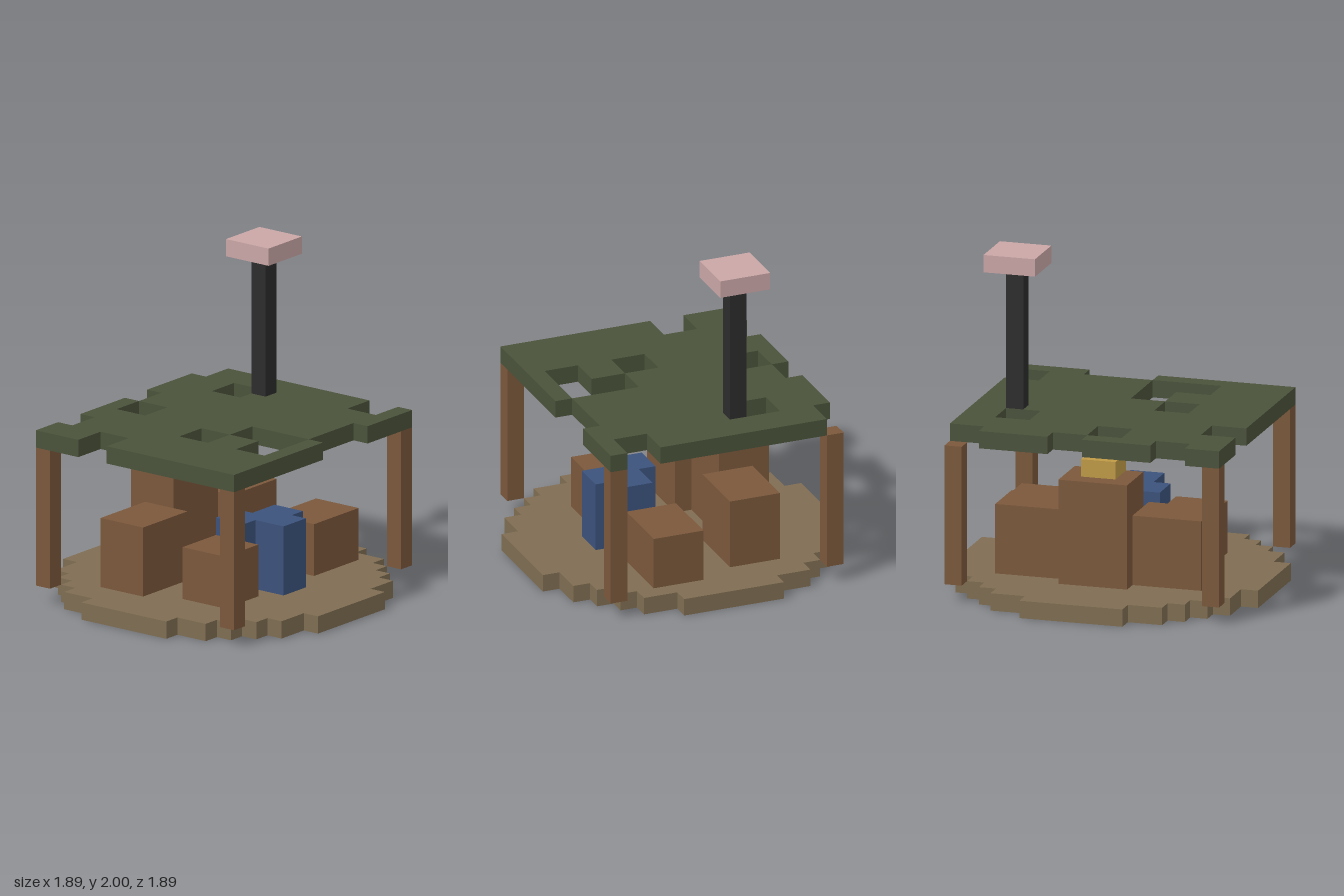
import * as THREE from 'three';

const U = 2 / 19; // one block

function material(name, color) {
  const m = new THREE.MeshStandardMaterial({ color });
  m.name = name;
  return m;
}

export function createModel() {
  const tan = material('tan ground', 0x7f6d52);
  const brown = material('brown wood', 0x7b583b);
  const green = material('dark green canopy', 0x4a523a);
  const blue = material('blue barrel', 0x3b527c);
  const gold = material('gold', 0xbf9b46);
  const black = material('black pole', 0x2c2c2c);
  const pink = material('pale pink', 0xcaa6a6);

  const model = new THREE.Group();
  model.name = 'campShelter';

  function add(name, geometry, mat, parent) {
    const mesh = new THREE.Mesh(geometry, mat);
    mesh.name = name;
    parent.add(mesh);
  }

  // Box between two corners given in blocks
  function block(name, mat, [x0, x1], [y0, y1], [z0, z1], parent = model) {
    const g = new THREE.BoxGeometry((x1 - x0) * U, (y1 - y0) * U, (z1 - z0) * U);
    g.translate((x0 + x1) / 2 * U, (y0 + y1) / 2 * U, (z0 + z1) / 2 * U);
    add(name, g, mat, parent);
  }

  // One-block-thick slab from an (x, z) outline
  function slab(name, mat, outline, top, parent = model, hole) {
    const points = (list) => list.map(([x, z]) => new THREE.Vector2(x * U, z * U));
    const shape = new THREE.Shape(points(outline));
    if (hole) shape.holes.push(new THREE.Path(points(hole)));
    const g = new THREE.ExtrudeGeometry(shape, { depth: U, bevelEnabled: false });
    g.rotateX(Math.PI / 2);
    g.translate(0, top * U, 0);
    add(name, g, mat, parent);
  }

  // Stepped round ground: half width of each row, centre to edge
  const half = [9, 9, 9, 8, 8, 7, 6, 5, 3];
  const right = [];
  for (let z = -9; z < 9; z++) {
    const w = half[z < 0 ? -z - 1 : z];
    const last = right[right.length - 1];
    if (last && last[0] === w) last[1] = z + 1;
    else right.push([w, z], [w, z + 1]);
  }
  const left = right.map(([x, z]) => [-x, z]).reverse();
  slab('ground', tan, [...right, ...left], 1);

  // Corner posts
  for (const x of [-8, 7])
    for (const z of [-7, 6]) block('post', brown, [x, x + 1], [1, 9], [z, z + 1]);

  // Ragged canopy in three strips
  const canopy = new THREE.Group();
  canopy.name = 'canopy';
  model.add(canopy);
  slab('canopyRightStrip', green, [
    [-8, -7], [-6, -7], [-6, -6], [-4, -6], [-4, -7], [-2, -7], [-2, 0], [-4, 0], [-4, 2], [-2, 2],
    [-2, 4], [-4, 4], [-4, 6], [-2, 6], [-2, 7], [-8, 7], [-8, -2], [-6, -2], [-6, -4], [-8, -4],
  ], 10, canopy);
  for (const z of [[-7, -6], [-4, 2], [6, 7]])
    block('canopyMiddlePatch', green, [-2, 0], [9, 10], z, canopy);
  slab('canopyLeftStrip', green, [
    [0, -6], [2, -6], [2, -7], [6, -7], [6, -6], [8, -6], [8, 4],
    [6, 4], [6, 6], [8, 6], [8, 7], [4, 7], [4, 6], [0, 6],
  ], 10, canopy, [[4, -4], [4, -2], [6, -2], [6, -4]]);

  // Crates
  block('tallCrate', brown, [-2, 2], [1, 7], [-5, -2]);
  block('backLeftCrate', brown, [2, 6], [1, 5], [-4, -1]);
  block('backRightCrate', brown, [-6, -2], [1, 5], [-4, -1]);
  block('frontLeftCrate', brown, [3, 7], [1, 4], [1, 4]);
  block('frontRightCrate', brown, [-5, -2], [1, 4], [1, 4]);
  block('goldBox', gold, [-1, 1], [7, 8], [-4, -2]);

  // Three clustered barrels
  for (const [x, z] of [[-2, 1], [0, 2], [-1, 3]])
    block('barrel', blue, [x, x + 2], [1, 5], [z, z + 2]);

  // Mast and its cap
  block('mast', black, [5, 6], [10, 18], [-2, -1]);
  block('mastCap', pink, [4, 7], [18, 19], [-3, 0]);

  return model;
}
